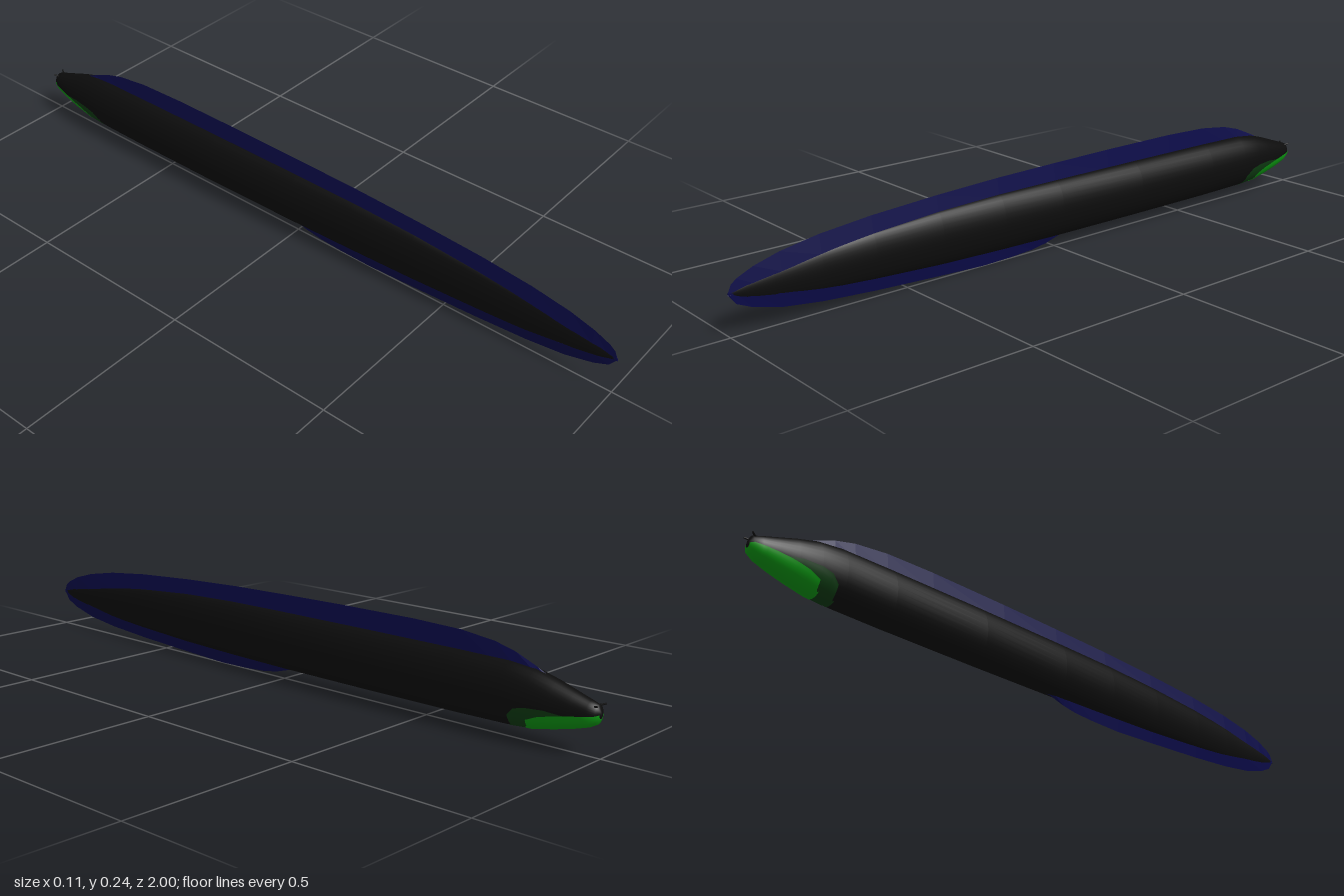
import * as THREE from 'three';

// Body stations: z, half width, top, bottom (head at -z, tail at +z)
const BODY = [
  [-0.997, 0.004, 0.112, 0.1], [-0.99, 0.019, 0.128, 0.083], [-0.97, 0.027, 0.135, 0.072],
  [-0.93, 0.035, 0.148, 0.06], [-0.88, 0.043, 0.165, 0.048], [-0.82, 0.05, 0.182, 0.036],
  [-0.75, 0.053, 0.19, 0.031], [-0.6, 0.053, 0.192, 0.029], [-0.3, 0.052, 0.193, 0.029],
  [0, 0.045, 0.193, 0.03], [0.2, 0.038, 0.192, 0.033], [0.4, 0.03, 0.186, 0.038],
  [0.6, 0.021, 0.173, 0.047], [0.75, 0.014, 0.158, 0.056], [0.88, 0.008, 0.138, 0.073],
  [0.95, 0.004, 0.124, 0.088], [0.99, 0.001, 0.112, 0.103],
];
// Fin outlines: z, y
const TOP_FIN = [
  [-0.86, 0.168], [-0.82, 0.187], [-0.76, 0.212], [-0.7, 0.228], [-0.6, 0.24], [-0.45, 0.244],
  [-0.2, 0.243], [0, 0.24], [0.2, 0.236], [0.4, 0.228], [0.6, 0.216], [0.75, 0.201],
  [0.86, 0.182], [0.93, 0.162], [0.975, 0.142], [0.99, 0.13], [1, 0.108],
];
const LOW_FIN = [
  [-0.06, 0.033], [-0.02, 0.028], [0.03, 0.014], [0.08, 0.006], [0.15, 0.002], [0.25, 0],
  [0.4, 0.006], [0.6, 0.016], [0.75, 0.027], [0.86, 0.041], [0.94, 0.062], [0.98, 0.08], [1, 0.108],
];

// Linear lookup in a table keyed by its first column
function sample(table, z) {
  const last = table.length - 1;
  if (z <= table[0][0]) return table[0];
  if (z >= table[last][0]) return table[last];
  const i = table.findIndex((r) => r[0] >= z);
  const a = table[i - 1], b = table[i], t = (z - a[0]) / (b[0] - a[0]);
  return a.map((v, k) => v + (b[k] - v) * t);
}

// Point on the skin; angle is measured from straight down
function skin(z, angle, lift = 0) {
  const [, w, top, bottom] = sample(BODY, z);
  return [
    Math.sin(angle) * (w + lift),
    (top + bottom) / 2 - Math.cos(angle) * ((top - bottom) / 2 + lift),
    z,
  ];
}

// Surface through rows of points that run along +z, each turning counter-clockwise seen from +z
function loft(rows, closed) {
  const n = rows[0].length, index = [];
  for (let i = 0; i < rows.length - 1; i++) {
    for (let j = 0; j < (closed ? n : n - 1); j++) {
      const a = i * n + j, b = i * n + ((j + 1) % n);
      index.push(a, b, b + n, a, b + n, a + n);
    }
  }
  if (closed) {
    const end = (rows.length - 1) * n;
    for (let j = 1; j < n - 1; j++) {
      index.push(0, j + 1, j, end, end + j, end + j + 1);
    }
  }
  const geo = new THREE.BufferGeometry();
  geo.setAttribute('position', new THREE.Float32BufferAttribute(rows.flat(2), 3));
  geo.setIndex(index);
  geo.computeVertexNormals();
  return geo;
}

// Throat plate following the skin; edge rows are z, half angle in degrees
function throatPlate(edge, lift) {
  const zs = [...new Set([...edge, ...BODY].map((r) => r[0]))]
    .filter((z) => z >= edge[0][0] && z <= edge[edge.length - 1][0])
    .sort((a, b) => a - b);
  return loft(zs.map((z) => {
    const half = THREE.MathUtils.degToRad(sample(edge, z)[1]);
    return Array.from({ length: 25 }, (_, j) => skin(z, half * (j / 12 - 1), lift));
  }), false);
}

// Thin wedge fin with its root sunk in the body
function fin(outline, side) {
  return loft(outline.map(([z, y]) => {
    const [, w, top, bottom] = sample(BODY, z);
    const root = side > 0 ? top - 0.008 : bottom + 0.008;
    const half = Math.min(0.007, w * 0.6 + 0.0005);
    return [[0, y, z], [-side * half, root, z], [side * half, root, z]];
  }), true).toNonIndexed();
}

export function createModel() {
  const model = new THREE.Group();
  const material = (name, color, side = THREE.FrontSide) => {
    const m = new THREE.MeshStandardMaterial({ color, side });
    m.name = name;
    return m;
  };
  const black = material('black skin', 0x0c0c0c);
  const navy = material('navy fin', 0x0a0a48, THREE.DoubleSide);
  const green = material('bright green throat', 0x0c9a12, THREE.DoubleSide);
  const darkGreen = material('dark green gill', 0x0e3c12, THREE.DoubleSide);

  const add = (name, geometry, mat) => {
    const mesh = new THREE.Mesh(geometry, mat);
    mesh.name = name;
    model.add(mesh);
    return mesh;
  };

  // Long oval body
  const rings = BODY.map(([z]) =>
    Array.from({ length: 32 }, (_, j) => skin(z, (j / 32) * Math.PI * 2)));
  add('body', loft(rings, true), black);

  // Fins along back and belly, meeting at the tail
  for (const [name, outline, side] of [['backFin', TOP_FIN, 1], ['bellyFin', LOW_FIN, -1]]) {
    const geo = fin(outline, side);
    geo.computeVertexNormals();
    add(name, geo, navy);
  }

  // Gill patch, then the brighter throat over it
  add('gillPatch', throatPlate(
    [[-0.92, 76], [-0.87, 82], [-0.82, 80], [-0.79, 74], [-0.77, 58], [-0.762, 20]], 0.001), darkGreen);
  add('throat', throatPlate(
    [[-0.996, 88], [-0.96, 84], [-0.9, 74], [-0.85, 64], [-0.82, 54], [-0.81, 25]], 0.002), green);

  // Pair of tiny nostril tubes on the snout
  for (const s of [-1, 1]) {
    const nostril = add(s > 0 ? 'leftNostril' : 'rightNostril',
      new THREE.CylinderGeometry(0.002, 0.003, 0.018, 8), black);
    nostril.position.set(s * 0.014, 0.126, -0.99);
    nostril.rotation.set(-1.2, 0, -s * 0.5);
  }
  return model;
}
